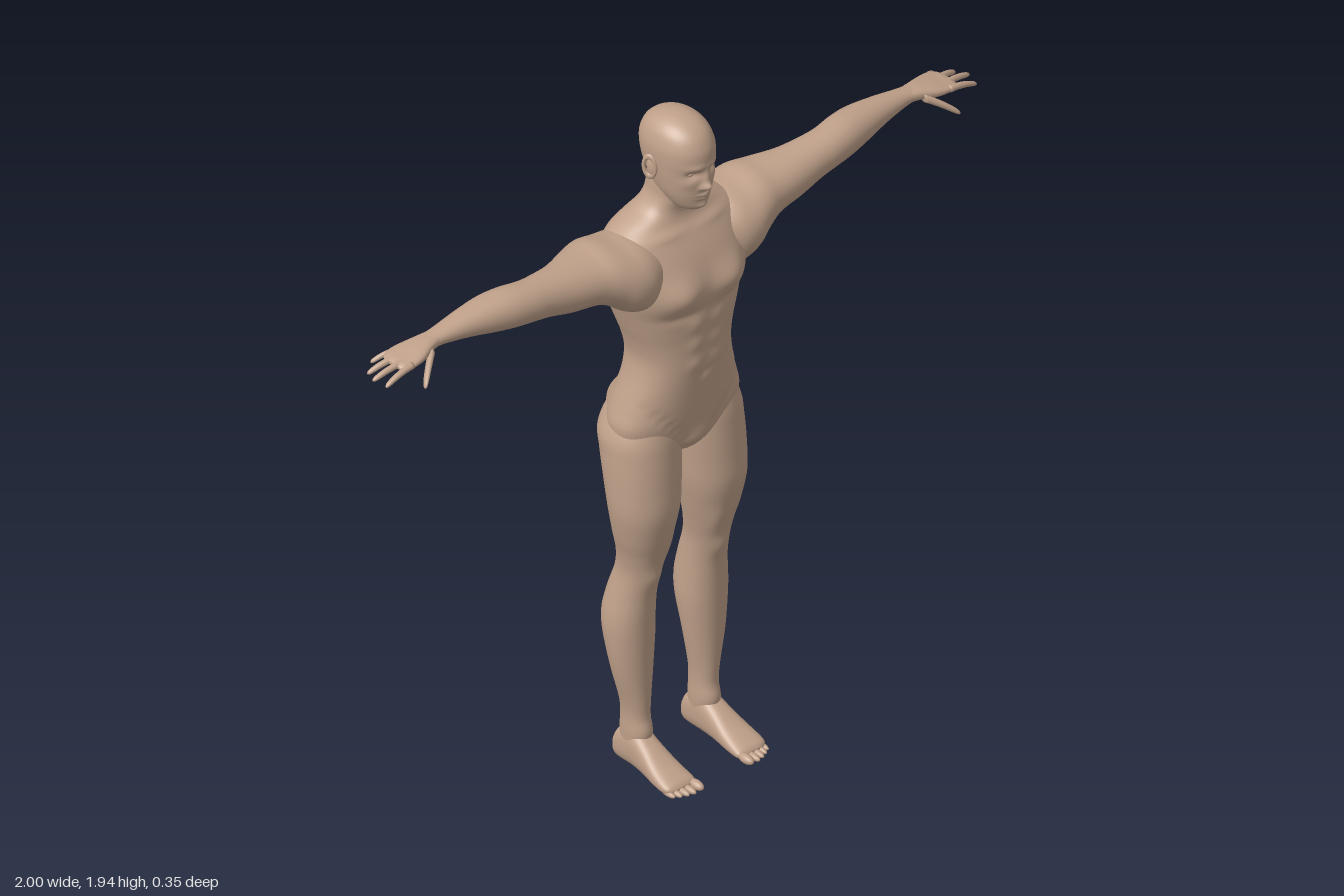
import * as THREE from 'three';

const skin = new THREE.MeshStandardMaterial({ color: 0xc0a18a });
skin.name = 'skin';

// Catmull-Rom blend of whole rows of numbers
function rowAt(rows, u) {
  const f = u * (rows.length - 1), i = Math.min(Math.floor(f), rows.length - 2), t = f - i;
  const r = k => rows[Math.max(0, Math.min(rows.length - 1, k))];
  const [p, q, s, e] = [r(i - 1), r(i), r(i + 1), r(i + 2)];
  return q.map((_, k) => 0.5 * (2 * q[k] + (s[k] - p[k]) * t
    + (2 * p[k] - 5 * q[k] + 4 * s[k] - e[k]) * t * t
    + (3 * q[k] - p[k] - 3 * s[k] + e[k]) * t * t * t));
}

// Closed skin through rounded sections. Each row: [position, aMin, aMax, bMin, bMax];
// axis 0 = x (a: y, b: z), axis 1 = y (a: z, b: x), axis 2 = z (a: x, b: y)
function loft(axis, rows, rings, sides, power = 2) {
  const pos = [], idx = [];
  const put = (t, a, b) => {
    const p = [0, 0, 0];
    p[axis] = t; p[(axis + 1) % 3] = a; p[(axis + 2) % 3] = b;
    pos.push(...p);
  };
  const soft = v => Math.sign(v) * Math.abs(v) ** (2 / power);
  for (let i = 0; i <= rings; i++) {
    const [t, a0, a1, b0, b1] = rowAt(rows, i / rings);
    for (let j = 0; j < sides; j++) {
      const w = j / sides * Math.PI * 2;
      put(t, (a0 + a1) / 2 + (a1 - a0) / 2 * soft(Math.cos(w)), (b0 + b1) / 2 + (b1 - b0) / 2 * soft(Math.sin(w)));
    }
  }
  for (const r of [rows[0], rows[rows.length - 1]]) put(r[0], (r[1] + r[2]) / 2, (r[3] + r[4]) / 2);
  const start = (rings + 1) * sides, end = start + 1;
  for (let j = 0; j < sides; j++) {
    const k = (j + 1) % sides;
    for (let i = 0; i < rings; i++) {
      const a = i * sides + j, b = i * sides + k;
      idx.push(a, b, b + sides, a, b + sides, a + sides);
    }
    idx.push(start, k, j, end, rings * sides + j, rings * sides + k);
  }
  const g = new THREE.BufferGeometry();
  g.setAttribute('position', new THREE.Float32BufferAttribute(pos, 3));
  g.setIndex(idx);
  g.computeVertexNormals();
  return g;
}

// Push the front (side 1) or back (side -1) in or out with soft bumps [x, y, width, height, amount]
function sculpt(g, front, back = []) {
  const p = g.attributes.position, n = g.attributes.normal;
  for (let i = 0; i < p.count; i++) {
    const x = Math.abs(p.getX(i)), y = p.getY(i), nz = n.getZ(i);
    let d = 0;
    for (const [bx, by, sx, sy, amount] of nz > 0 ? front : back)
      d += amount * Math.exp(-(((x - bx) / sx) ** 2) - ((y - by) / sy) ** 2);
    p.setZ(i, p.getZ(i) + d * nz);
  }
  g.computeVertexNormals();
  return g;
}

function mirrored(g) {
  const m = g.clone(), p = m.attributes.position, a = m.index.array;
  for (let i = 0; i < p.count; i++) p.setX(i, -p.getX(i));
  for (let i = 0; i < a.length; i += 3) [a[i], a[i + 1]] = [a[i + 1], a[i]];
  m.computeVertexNormals();
  return m;
}

// Tapered digit along x with a slight arch
function digit(from, to, r, arch) {
  const rows = [[0, 1], [0.3, 0.95], [0.6, 0.88], [0.85, 0.75], [0.96, 0.5], [1, 0.1]].map(([u, s]) => {
    const [x, y, z] = from.map((v, k) => v + (to[k] - v) * u);
    const cy = y + arch * Math.sin(u * Math.PI);
    return [x, cy - r * s, cy + r * s, z - r * s, z + r * s];
  });
  return loft(0, rows, 16, 12);
}

export function createModel() {
  const model = new THREE.Group();
  model.name = 'standingFigure';
  const add = (name, g) => {
    const m = new THREE.Mesh(g, skin);
    m.name = name;
    model.add(m);
  };
  const pair = (name, g) => {
    add(name + 'Left', g);
    add(name + 'Right', mirrored(g));
  };
  const ball = (x, y, z, sx, sy, sz) => new THREE.SphereGeometry(1, 20, 14).scale(sx, sy, sz).translate(x, y, z);
  const centred = rows => rows.map(([y, zb, zf, w]) => [y, zb, zf, -w, w]);

  // Torso and neck
  const torso = loft(1, centred([
    [0.94, -0.07, 0.03, 0.02], [0.96, -0.11, 0.048, 0.1], [1.0, -0.128, 0.064, 0.175],
    [1.05, -0.132, 0.074, 0.192], [1.1, -0.132, 0.081, 0.179], [1.15, -0.124, 0.087, 0.162],
    [1.2, -0.12, 0.093, 0.147], [1.25, -0.122, 0.097, 0.14], [1.3, -0.13, 0.098, 0.148],
    [1.35, -0.142, 0.1, 0.164], [1.4, -0.155, 0.102, 0.18], [1.45, -0.162, 0.105, 0.195],
    [1.5, -0.162, 0.097, 0.204], [1.55, -0.157, 0.08, 0.205], [1.6, -0.143, 0.053, 0.193],
    [1.635, -0.125, 0.03, 0.145], [1.665, -0.108, 0.024, 0.092], [1.7, -0.098, 0.032, 0.068],
    [1.74, -0.095, 0.04, 0.063], [1.78, -0.09, 0.03, 0.058]]), 110, 80, 2.35);
  const belly = [
    [0.085, 1.465, 0.062, 0.048, 0.024], [0.08, 1.4, 0.06, 0.016, -0.007],
    [0.08, 1.615, 0.05, 0.01, 0.006], [0, 1.2, 0.009, 0.01, -0.007], [0, 0.99, 0.028, 0.03, 0.012]];
  for (const y of [1.36, 1.3, 1.24]) belly.push([0.035, y, 0.022, 0.022, 0.005]);
  for (let i = 0; i < 7; i++) belly.push([0.035 + i * 0.02, 1.0 + i * 0.021, 0.014, 0.014, -0.005]);
  add('torso', sculpt(torso, belly, [
    [0.085, 1.05, 0.06, 0.062, 0.044], [0, 1.36, 0.02, 0.2, -0.016],
    [0.095, 1.51, 0.055, 0.07, 0.018], [0.05, 1.24, 0.03, 0.08, 0.008]]));

  // Head with brow, sockets, nose, lips and chin
  const head = loft(1, centred([
    [1.677, -0.02, 0.05, 0.015], [1.685, -0.035, 0.07, 0.034], [1.7, -0.05, 0.08, 0.048],
    [1.73, -0.075, 0.087, 0.063], [1.76, -0.095, 0.091, 0.071], [1.8, -0.115, 0.094, 0.077],
    [1.84, -0.123, 0.097, 0.08], [1.87, -0.12, 0.093, 0.078], [1.9, -0.105, 0.077, 0.068],
    [1.92, -0.08, 0.052, 0.051], [1.932, -0.045, 0.02, 0.028], [1.936, -0.02, -0.005, 0.006]]), 90, 96, 2.1);
  add('head', sculpt(head, [
    [0, 1.79, 0.009, 0.022, 0.011], [0, 1.767, 0.011, 0.011, 0.02], [0.012, 1.762, 0.007, 0.007, 0.007],
    [0.032, 1.802, 0.017, 0.011, -0.014], [0.03, 1.824, 0.024, 0.008, 0.005], [0.048, 1.775, 0.016, 0.014, 0.004],
    [0, 1.738, 0.018, 0.004, 0.007], [0, 1.727, 0.016, 0.004, 0.006], [0, 1.7, 0.018, 0.01, 0.007]]));
  pair('eye', ball(0.031, 1.802, 0.065, 0.013, 0.009, 0.012));
  pair('ear', ball(0.079, 1.8, -0.02, 0.01, 0.03, 0.016));
  pair('earRim', new THREE.TorusGeometry(0.017, 0.005, 10, 28).scale(1, 1.7, 1)
    .rotateY(Math.PI / 2 - 0.35).translate(0.085, 1.803, -0.022));

  // Arms from inside the chest to the wrist
  pair('arm', loft(0, [
    [0.1, 1.45, 1.6, -0.13, 0.06], [0.15, 1.415, 1.62, -0.15, 0.083], [0.2, 1.428, 1.625, -0.154, 0.085],
    [0.25, 1.465, 1.634, -0.145, 0.07], [0.3, 1.489, 1.631, -0.127, 0.055], [0.38, 1.505, 1.632, -0.095, 0.045],
    [0.45, 1.525, 1.637, -0.08, 0.038], [0.5, 1.535, 1.642, -0.075, 0.036], [0.56, 1.541, 1.648, -0.083, 0.03],
    [0.62, 1.55, 1.645, -0.088, 0.018], [0.7, 1.567, 1.635, -0.08, 0], [0.78, 1.58, 1.622, -0.07, -0.014],
    [0.83, 1.583, 1.615, -0.07, -0.014]], 72, 44, 2.1));

  // Hands
  pair('palm', loft(0, [
    [0.78, 1.585, 1.618, -0.066, -0.018], [0.82, 1.582, 1.617, -0.072, -0.01], [0.86, 1.577, 1.611, -0.083, 0.004],
    [0.895, 1.577, 1.603, -0.09, 0.008], [0.92, 1.578, 1.598, -0.084, 0.005], [0.932, 1.583, 1.592, -0.07, -0.01]], 24, 28, 2.5));
  const fingers = [
    [[0.9, 1.59, 0], [0.99, 1.566, 0.001]], [[0.9, 1.591, -0.024], [1, 1.57, -0.037]],
    [[0.9, 1.59, -0.052], [0.985, 1.566, -0.073]], [[0.88, 1.589, -0.077], [0.945, 1.565, -0.106]]];
  fingers.forEach(([a, b], i) => pair('finger' + (i + 1), digit(a, b, i === 3 ? 0.008 : 0.0095, 0.005)));
  pair('thumb', digit([0.825, 1.592, -0.012], [0.897, 1.542, 0.043], 0.0125, 0.003));

  // Legs with knees and calves
  pair('leg', sculpt(loft(1, [
    [0.03, -0.083, -0.015, 0.085, 0.145], [0.1, -0.088, 0.008, 0.08, 0.148], [0.15, -0.085, 0, 0.081, 0.147],
    [0.2, -0.086, 0, 0.078, 0.153], [0.3, -0.101, 0.002, 0.065, 0.176], [0.4, -0.122, 0.005, 0.055, 0.188],
    [0.46, -0.127, 0.008, 0.056, 0.187], [0.53, -0.115, 0.015, 0.06, 0.176], [0.6, -0.095, 0.03, 0.06, 0.167],
    [0.66, -0.088, 0.044, 0.05, 0.174], [0.72, -0.092, 0.06, 0.037, 0.189], [0.8, -0.102, 0.075, 0.021, 0.203],
    [0.88, -0.117, 0.073, 0.011, 0.207], [0.96, -0.136, 0.068, 0.003, 0.206], [1.02, -0.148, 0.062, 0.004, 0.2],
    [1.09, -0.125, 0.045, 0.03, 0.165], [1.14, -0.08, 0.02, 0.06, 0.125]], 100, 48, 2.1),
  [[0.112, 0.59, 0.026, 0.03, 0.007], [0.075, 0.68, 0.025, 0.045, 0.006]],
  [[0.085, 0.44, 0.025, 0.07, 0.004], [0.145, 0.44, 0.025, 0.07, 0.004]]));

  // Feet and toes
  pair('foot', loft(2, [
    [-0.106, 0.105, 0.125, 0.02, 0.045], [-0.1, 0.09, 0.14, 0.006, 0.07], [-0.08, 0.083, 0.147, 0, 0.098],
    [-0.03, 0.08, 0.15, 0, 0.115], [0.02, 0.078, 0.156, 0, 0.09], [0.07, 0.073, 0.165, 0, 0.06],
    [0.11, 0.071, 0.168, 0, 0.042], [0.132, 0.073, 0.163, 0.004, 0.032], [0.142, 0.088, 0.145, 0.01, 0.022]], 44, 36, 2.5));
  const toes = [[0.084, 0.15, 0.013], [0.107, 0.149, 0.0095], [0.125, 0.144, 0.009], [0.142, 0.136, 0.0085], [0.157, 0.126, 0.008]];
  toes.forEach(([x, z, r], i) => pair('toe' + (i + 1), ball(x, r + 0.003, z, r, r, 0.026)));

  return model;
}
